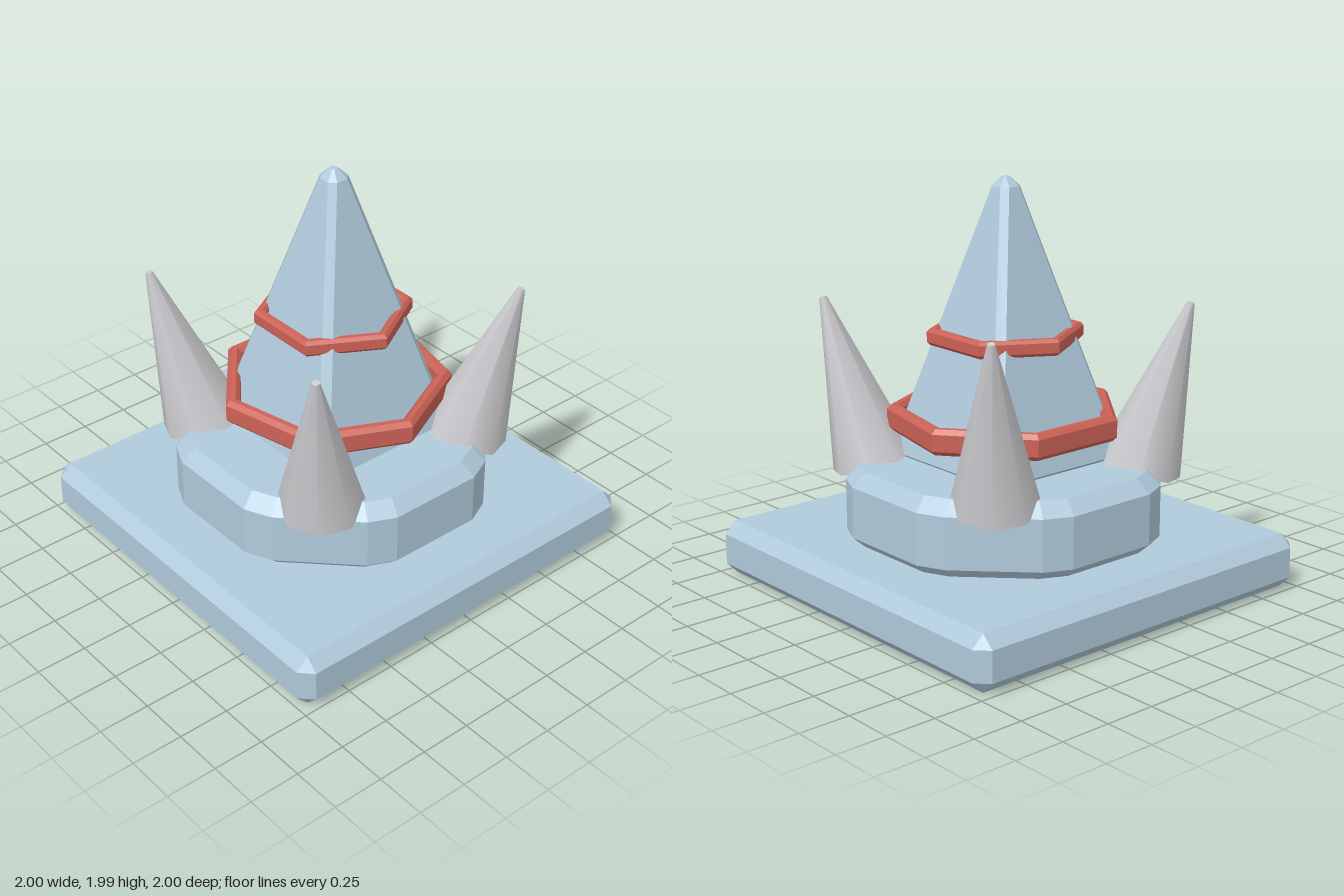
import * as THREE from 'three';
import { ConvexGeometry } from 'three/addons/geometries/ConvexGeometry.js';

const material = (name, color) => Object.assign(new THREE.MeshStandardMaterial({ color }), { name });

// Faceted solid from a list of horizontal outlines: [y, [[x, z], ...]]
function facetedSolid(levels) {
  return new ConvexGeometry(
    levels.flatMap(([y, outline]) => outline.map(([x, z]) => new THREE.Vector3(x, y, z))));
}

// Repeat corner points [x, z] around the four quarters
function fourWay(corner, scale = 1) {
  const points = [];
  for (const sx of [1, -1]) for (const sz of [1, -1]) {
    for (const [x, z] of corner) points.push([sx * x * scale, sz * z * scale]);
  }
  return points;
}

// Square outline with cut corners
const cutSquare = (half, inner) => fourWay([[half, inner], [inner, half]]);

// Flat-faced ring with a chamfered rectangular section; first corner points to +x
function facetedRing(sides, inner, outer, bottom, top, c) {
  const profile = [
    [inner + c, bottom], [outer - c, bottom], [outer, bottom + c], [outer, top - c],
    [outer - c, top], [inner + c, top], [inner, top - c], [inner, bottom + c], [inner + c, bottom],
  ].map(([r, y]) => new THREE.Vector2(r, y));
  const geometry = new THREE.LatheGeometry(profile, sides, Math.PI / 2).toNonIndexed();
  geometry.computeVertexNormals();
  return geometry;
}

export function createModel() {
  const model = new THREE.Group();
  model.name = 'spikedSpire';
  const blue = material('paleBlue', 0xb0cadb);
  const red = material('red', 0xcc6256);
  const grey = material('lightGrey', 0xcacace);

  const add = (name, geometry, mat, parent = model) => {
    const mesh = new THREE.Mesh(geometry, mat);
    mesh.name = name;
    parent.add(mesh);
    return mesh;
  };

  // Square base slab with chamfered edges
  const slabEdge = [[0.94, 0.94]];
  add('baseSlab', facetedSolid([
    [0, fourWay(slabEdge)],
    [0.06, cutSquare(1, 0.94)],
    [0.21, cutSquare(1, 0.94)],
    [0.27, fourWay(slabEdge)],
  ]), blue);

  // Rounded plinth
  const plinthCorner = [[0.74, 0.24], [0.68, 0.37], [0.52, 0.52], [0.37, 0.68], [0.24, 0.74]];
  add('plinth', facetedSolid([
    [0.265, fourWay(plinthCorner, 0.92)],
    [0.32, fourWay(plinthCorner)],
    [0.57, fourWay(plinthCorner)],
    [0.635, fourWay(plinthCorner, 0.91)],
  ]), blue);

  // Tapering spire with cut corners
  add('spire', facetedSolid([
    [0.62, cutSquare(0.36, 0.33)],
    [0.655, cutSquare(0.41, 0.37)],
    [1.94, cutSquare(0.06, 0.03)],
    [1.985, cutSquare(0.015, 0.01)],
  ]), blue);

  // Bands around the spire
  add('lowerBand', facetedRing(7, 0.495, 0.567, 0.77, 0.895, 0.022), red);
  add('upperBand', facetedRing(6, 0.32, 0.377, 1.197, 1.277, 0.016), red);

  // Four outward-leaning spikes on the plinth corners
  const base = new THREE.Vector2(0.636, 0.6);
  const tip = new THREE.Vector2(0.868, 1.4);
  const spikeGeometry = new THREE.CylinderGeometry(0.018, 0.21, base.distanceTo(tip), 8);
  for (let i = 0; i < 4; i++) {
    const corner = new THREE.Group();
    corner.name = 'cornerSpike' + (i + 1);
    corner.rotation.y = Math.PI / 4 + i * Math.PI / 2;
    const spike = add('spike', spikeGeometry, grey, corner);
    spike.position.set(0, (base.y + tip.y) / 2, (base.x + tip.x) / 2);
    spike.rotation.x = Math.atan2(tip.x - base.x, tip.y - base.y);
    model.add(corner);
  }
  return model;
}
